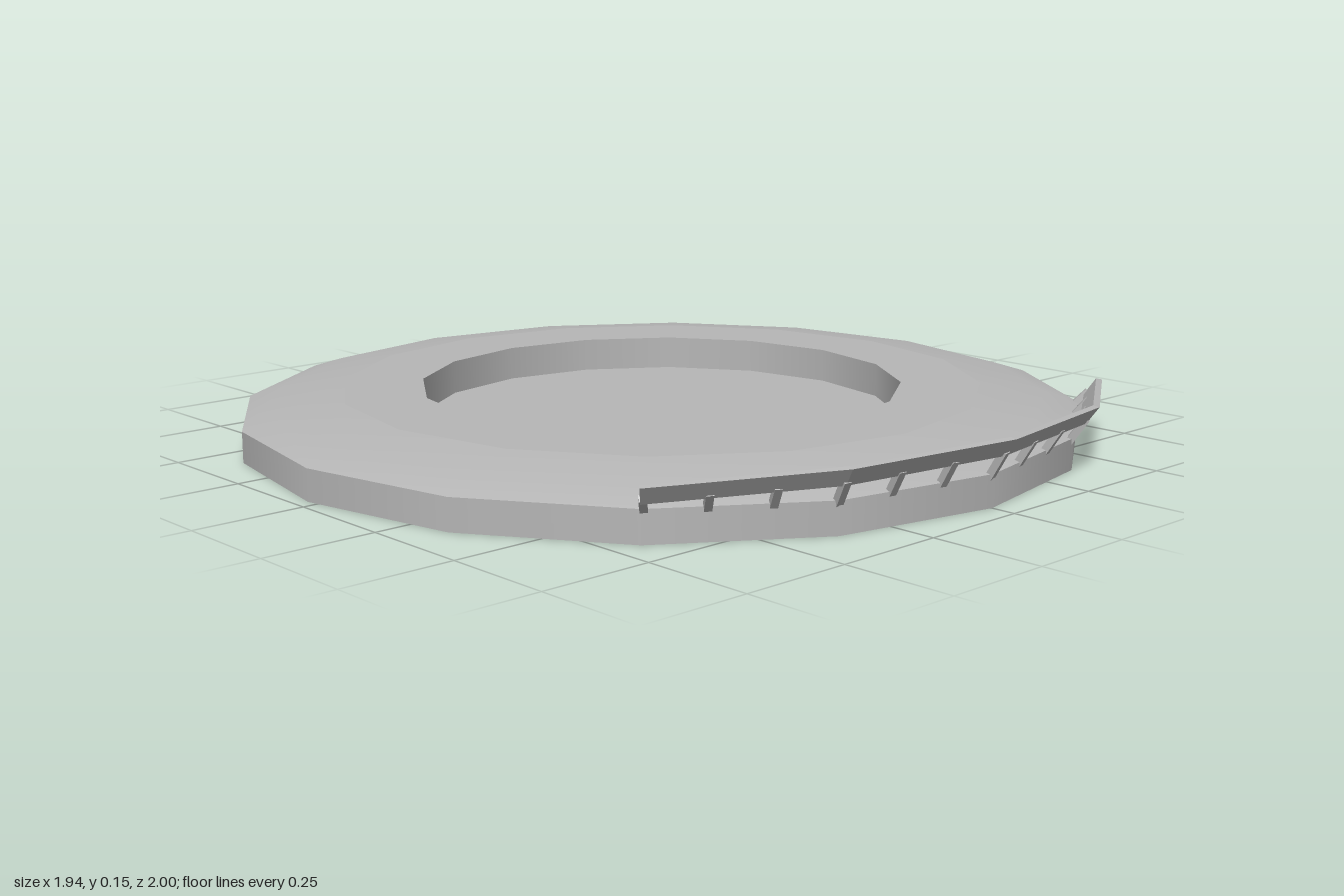
import * as THREE from 'three';

const SIDES = 16;
const STEP = (Math.PI * 2) / SIDES;
const CENTRE_Z = -0.027;

// Point at angle a (0 = front), radius r, height y, relative to the disc axis
const polar = (a, r, y) => new THREE.Vector3(Math.sin(a) * r, y, Math.cos(a) * r);

// The railing sinks slightly towards its two ends
const sink = (z) => 0.09 * (1.022 - z);

export function createModel() {
  const grey = new THREE.MeshStandardMaterial({ color: 0xb6b6b6 });
  grey.name = 'plain grey';
  const model = new THREE.Group();
  model.name = 'ringPlatform';
  const body = new THREE.Group();
  body.name = 'platform';
  body.position.z = CENTRE_Z;
  model.add(body);

  const add = (name, geometry, parent = body) => {
    const mesh = new THREE.Mesh(geometry, grey);
    mesh.name = name;
    parent.add(mesh);
    return mesh;
  };
  const lathe = (name, points) =>
    add(name, new THREE.LatheGeometry(points.map(([r, y]) => new THREE.Vector2(r, y)), SIDES));

  // Disc: each band is its own surface so the edges between them stay crisp
  lathe('underside', [[0, 0], [0.972, 0]]);
  lathe('outerWall', [[0.972, 0], [0.972, 0.07]]);
  lathe('slopedRim', [[0.972, 0.07], [0.89, 0.096], [0.745, 0.114]]);
  lathe('flatRing', [[0.745, 0.114], [0.56, 0.114]]);
  lathe('recessWall', [[0.56, 0.114], [0.56, 0.035]]);
  lathe('recessFloor', [[0.56, 0.035], [0, 0.035]]);

  // Railing plate: a leaning cross-section carried along four rim sides
  const section = [[0.985, 0.118], [0.999, 0.114], [1.026, 0.15], [1.012, 0.154]];
  const rings = [-2, -1, 0, 1, 2].map((i) =>
    section.map(([r, y]) => {
      const p = polar(i * STEP, r, y);
      p.y -= sink(p.z);
      return p;
    }));
  const corners = [];
  const quad = (a, b, c, d) => corners.push(a, b, c, a, c, d);
  for (let i = 0; i < 4; i++) {
    for (let j = 0; j < 4; j++) {
      const k = (j + 1) % 4;
      quad(rings[i][j], rings[i + 1][j], rings[i + 1][k], rings[i][k]);
    }
  }
  quad(...rings[0]);
  quad(...[...rings[4]].reverse());
  const railGeometry = new THREE.BufferGeometry().setFromPoints(corners);
  railGeometry.computeVertexNormals();
  const railing = new THREE.Group();
  railing.name = 'railing';
  body.add(railing);
  add('railPlate', railGeometry, railing);

  // Posts: three per side, leaning out from the wall to the plate
  for (let n = -6; n <= 6; n++) {
    const side = Math.min(Math.floor(n / 3), 1);
    const t = n / 3 - side;
    const along = (r, y) => polar(side * STEP, r, y).lerp(polar((side + 1) * STEP, r, y), t);
    const foot = along(0.962, 0.06);
    const head = along(0.999, 0.125);
    head.y -= sink(head.z);
    // Keep the end posts within the plate
    if (Math.abs(n) === 6) {
      foot.x -= Math.sign(n) * 0.006;
      head.x -= Math.sign(n) * 0.006;
    }
    const post = add('railPost', new THREE.BoxGeometry(0.016, 0.016, foot.distanceTo(head)), railing);
    post.position.copy(foot).lerp(head, 0.5);
    const direction = head.clone().sub(foot).normalize();
    const tangent = polar((side + 1) * STEP, 1, 0).sub(polar(side * STEP, 1, 0)).normalize();
    const up = direction.clone().cross(tangent).normalize();
    post.quaternion.setFromRotationMatrix(
      new THREE.Matrix4().makeBasis(up.clone().cross(direction), up, direction));
  }
  return model;
}
